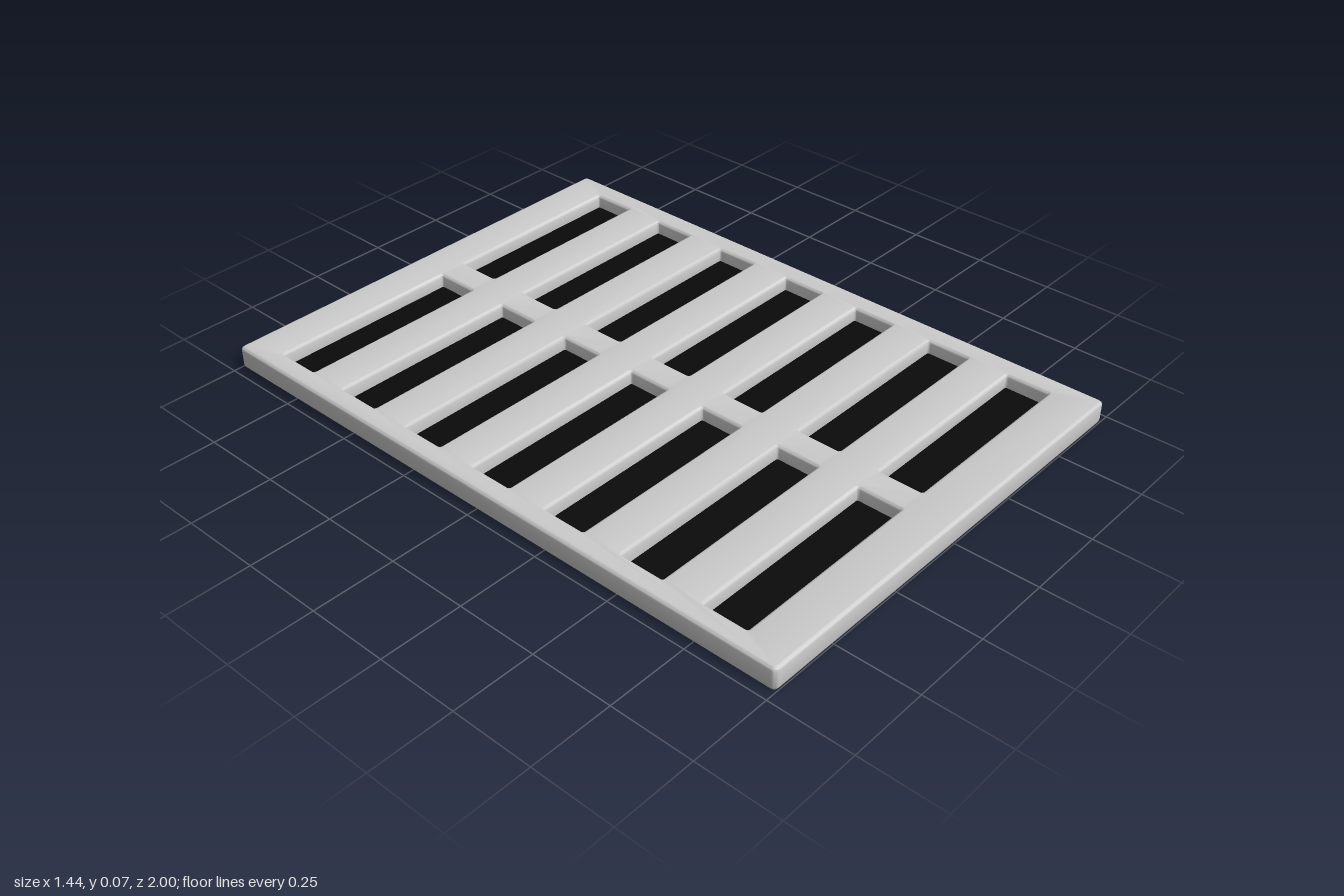
import * as THREE from 'three';
import { toCreasedNormals } from 'three/addons/utils/BufferGeometryUtils.js';

const W = 1.44, D = 2, H = 0.07;             // overall plate size
const BEVEL = 0.01, FLOOR = 0.026;           // edge rounding, height of the slot floors
const SLOT_W = 0.606, SLOT_D = 0.135, PITCH = 0.267, ROWS = 7;

// Traces a centred rectangle with slightly rounded corners
function roundedRect(path, cx, cy, w, d, r) {
  const x = w / 2, y = d / 2;
  path.moveTo(cx - x + r, cy - y);
  path.lineTo(cx + x - r, cy - y);
  path.quadraticCurveTo(cx + x, cy - y, cx + x, cy - y + r);
  path.lineTo(cx + x, cy + y - r);
  path.quadraticCurveTo(cx + x, cy + y, cx + x - r, cy + y);
  path.lineTo(cx - x + r, cy + y);
  path.quadraticCurveTo(cx - x, cy + y, cx - x, cy + y - r);
  path.lineTo(cx - x, cy - y + r);
  path.quadraticCurveTo(cx - x, cy - y, cx - x + r, cy - y);
  return path;
}

export function createModel() {
  const group = new THREE.Group();
  group.name = 'ventGrille';
  const grey = new THREE.MeshStandardMaterial({ color: 0xcccccc });
  const black = new THREE.MeshStandardMaterial({ color: 0x0a0a0a });

  // Slot centres: two columns of seven
  const slots = [];
  for (const side of [-1, 1]) {
    for (let i = 0; i < ROWS; i++) {
      slots.push([side * 0.35 - 0.003, (i - (ROWS - 1) / 2) * PITCH - 0.004]);
    }
  }

  // Plate with rounded edges, pierced by the slots
  const outline = roundedRect(new THREE.Shape(), 0, 0, W, D, 0.015);
  for (const [x, z] of slots) {
    outline.holes.push(roundedRect(new THREE.Path(), x, -z, SLOT_W, SLOT_D, 0.006));
  }
  const plate = new THREE.ExtrudeGeometry(outline, {
    depth: H - 2 * BEVEL, bevelThickness: BEVEL, bevelSize: BEVEL,
    bevelOffset: -BEVEL, bevelSegments: 3, curveSegments: 3,
  });
  plate.rotateX(-Math.PI / 2).translate(0, BEVEL, 0);
  const frame = new THREE.Mesh(toCreasedNormals(plate, 0.7), grey);
  frame.name = 'frame';
  group.add(frame);

  // Each slot is closed below by a grey backing with a black floor on top
  const backing = new THREE.BoxGeometry(SLOT_W + 2 * BEVEL, FLOOR - 0.004, SLOT_D + 2 * BEVEL);
  const floor = new THREE.BoxGeometry(SLOT_W + 0.004, 0.004, SLOT_D + 0.004);
  for (const [x, z] of slots) {
    const back = new THREE.Mesh(backing, grey);
    back.name = 'slotBacking';
    back.position.set(x, (FLOOR - 0.004) / 2, z);
    const dark = new THREE.Mesh(floor, black);
    dark.name = 'slotFloor';
    dark.position.set(x, FLOOR - 0.002, z);
    group.add(back, dark);
  }
  return group;
}
